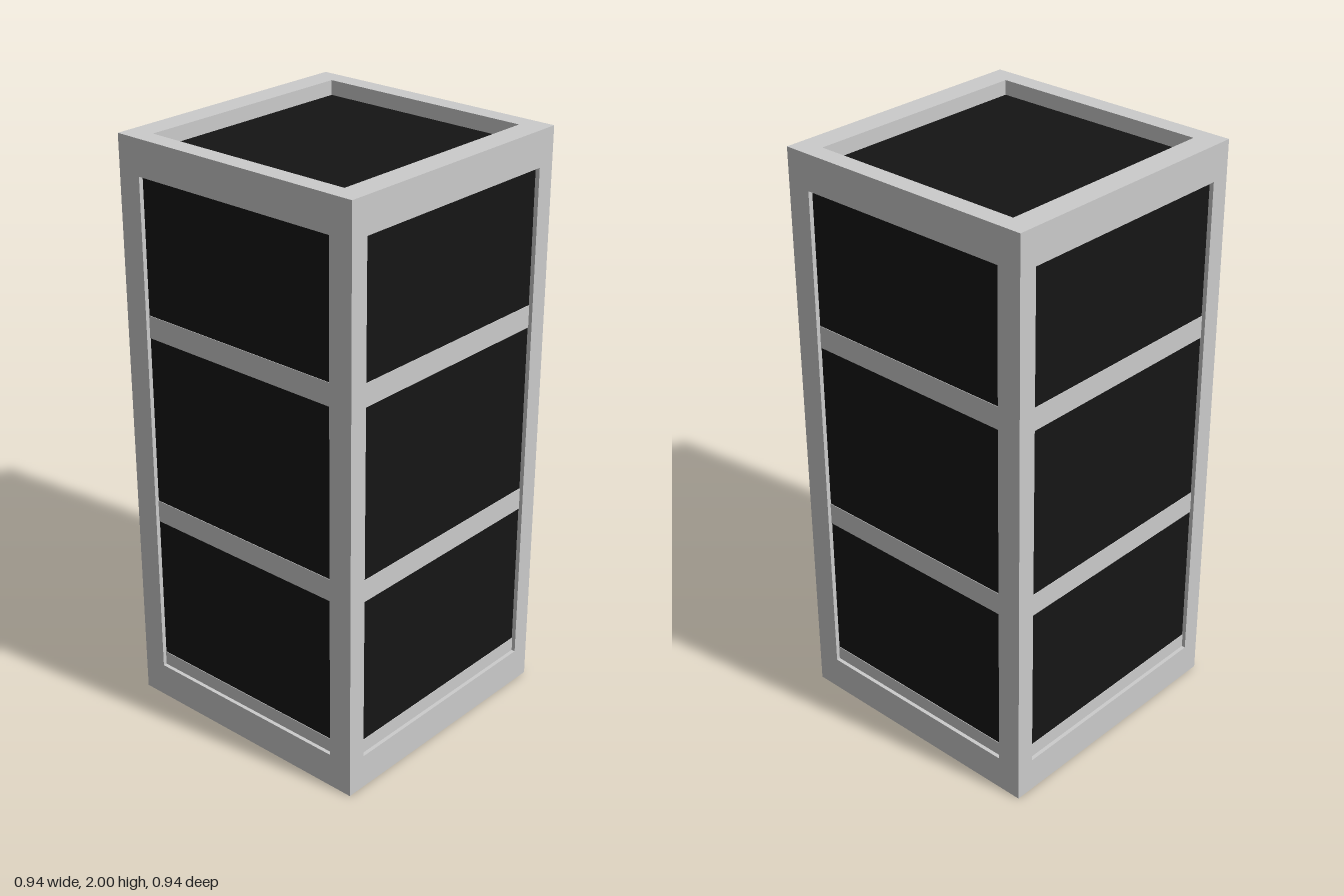
import * as THREE from 'three';

const grey = new THREE.MeshStandardMaterial({ color: 0xcccccc });
const black = new THREE.MeshStandardMaterial({ color: 0x151515 });

const HALF = 0.47, HEIGHT = 2;      // outer size
const POST_X = 0.065, POST_Z = 0.085; // post section
const RAIL = 0.12;                  // rail height
const CORE = 0.455;                 // half width of the recessed panels

export function createModel() {
  const model = new THREE.Group();
  const box = (parent, name, w, h, d, x, y, z, material = grey) => {
    const mesh = new THREE.Mesh(new THREE.BoxGeometry(w, h, d), material);
    mesh.name = name;
    mesh.position.set(x, y, z);
    parent.add(mesh);
  };

  // Outer frame: four corner posts joined by rails at top and bottom
  const frame = new THREE.Group();
  frame.name = 'frame';
  model.add(frame);
  for (const sx of [-1, 1]) {
    for (const sz of [-1, 1]) {
      box(frame, 'cornerPost', POST_X, HEIGHT, POST_Z,
        sx * (HALF - POST_X / 2), HEIGHT / 2, sz * (HALF - POST_Z / 2));
    }
  }
  for (const y of [RAIL / 2, HEIGHT - RAIL / 2]) {
    for (const s of [-1, 1]) {
      box(frame, 'crossRail', 2 * (HALF - POST_X), RAIL, POST_Z, 0, y, s * (HALF - POST_Z / 2));
      box(frame, 'sideRail', POST_X, RAIL, 2 * (HALF - POST_Z), s * (HALF - POST_X / 2), y, 0);
    }
  }

  // Dark panels, recessed behind every opening
  box(model, 'darkPanels', 2 * CORE, 1.862, 2 * CORE, 0, 1.019, 0, black);

  // Shelves, whose edges show as bands across the panels
  for (const y of [0.131, 0.723, 1.384]) {
    box(model, 'shelf', 2 * CORE + 0.004, 0.077, 2 * CORE + 0.004, 0, y, 0);
  }
  return model;
}
